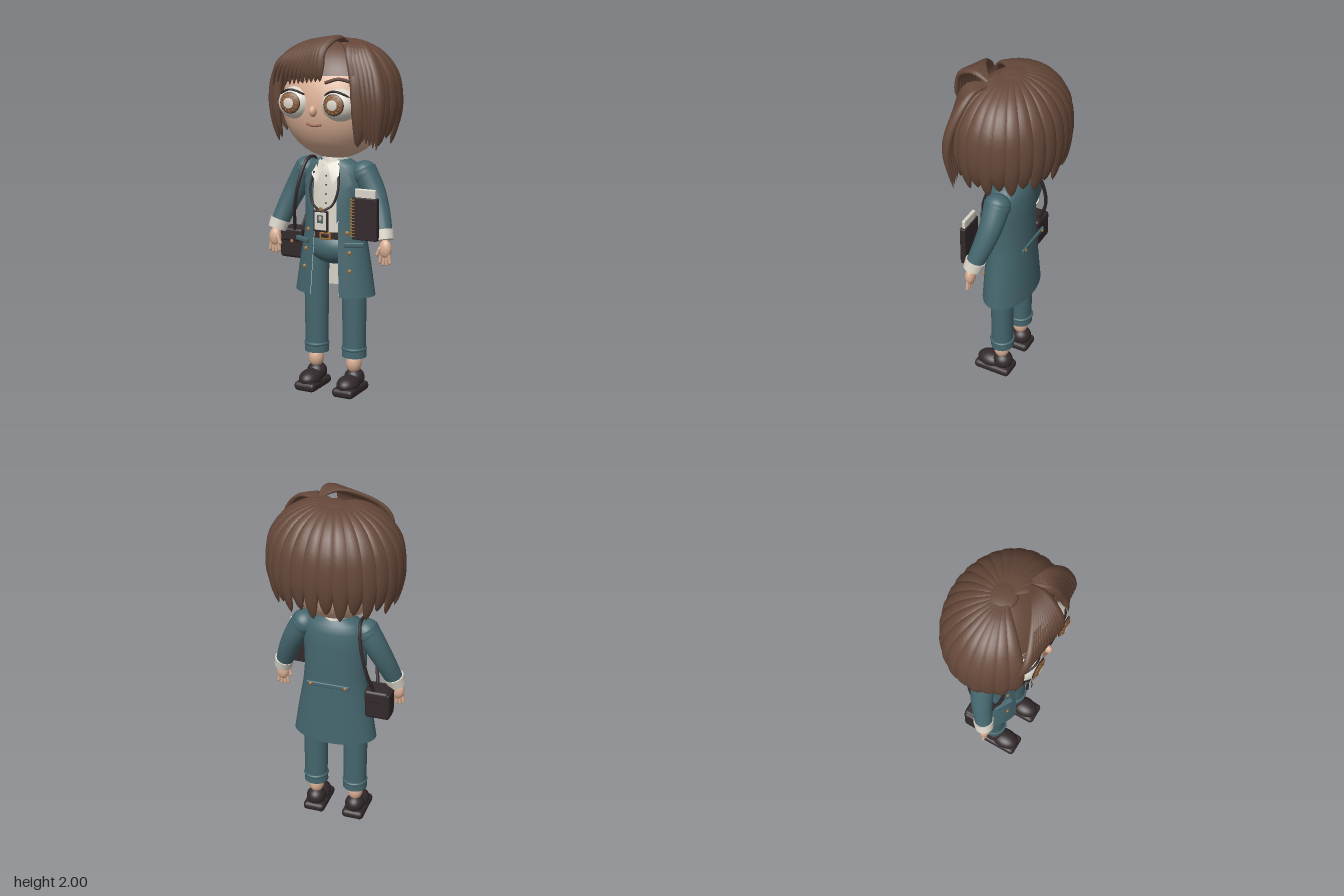
import * as THREE from 'three';
import { RoundedBoxGeometry } from 'three/addons/geometries/RoundedBoxGeometry.js';

const V = (x, y, z) => new THREE.Vector3(x, y, z);
const lerp = THREE.MathUtils.lerp;

export function createModel() {
  const root = new THREE.Group();
  const mat = (name, color, side = THREE.FrontSide) => {
    const m = new THREE.MeshStandardMaterial({ color, side });
    m.name = name;
    return m;
  };
  const teal = mat('teal cloth', 0x45666e), hair = mat('brown hair', 0x66483a);
  const skin = mat('skin', 0xd9ae94), cream = mat('cream', 0xdcd6ca, THREE.DoubleSide);
  const dark = mat('dark leather', 0x32292b), gold = mat('brass', 0xa87435);
  const iris = mat('iris brown', 0x875a3c), lip = mat('lip', 0xa0695c);

  const add = (name, geo, m, x = 0, y = 0, z = 0) => {
    const mesh = new THREE.Mesh(geo, m);
    mesh.name = name;
    mesh.position.set(x, y, z);
    root.add(mesh);
    return mesh;
  };
  const ball = (name, m, x, y, z, a, b, c) => {
    const mesh = add(name, new THREE.SphereGeometry(1, 28, 20), m, x, y, z);
    mesh.scale.set(a, b, c);
    return mesh;
  };
  const box = (name, m, x, y, z, w, h, d, r = 0.006) =>
    add(name, new RoundedBoxGeometry(w, h, d, 2, Math.min(r, d * 0.45, h * 0.45)), m, x, y, z);
  const tube = (name, m, pts, r, closed = false) =>
    add(name, new THREE.TubeGeometry(new THREE.CatmullRomCurve3(pts, closed), 40, r, 8, closed), m);

  // Surface through a stack of equal point rows
  function loft(rows, closed) {
    const n = rows[0].length, idx = [];
    for (let i = 0; i < rows.length - 1; i++)
      for (let j = 0; j < (closed ? n : n - 1); j++) {
        const k = (j + 1) % n, a = i * n + j, b = i * n + k, c = a + n, d = b + n;
        idx.push(a, b, c, b, d, c);
      }
    const g = new THREE.BufferGeometry().setFromPoints(rows.flat());
    g.setIndex(idx);
    g.computeVertexNormals();
    return g;
  }
  // Oval section swept along a curve; size(t) gives half width and half thickness
  function sweep(pts, size, out, steps = 20, sides = 10) {
    const curve = new THREE.CatmullRomCurve3(pts), rows = [];
    for (let i = 0; i <= steps; i++) {
      const t = i / steps, p = curve.getPoint(t), T = curve.getTangent(t), N = out(p);
      N.addScaledVector(T, -N.dot(T)).normalize();
      const B = N.clone().cross(T), [w, h] = size(t), row = [];
      for (let j = 0; j < sides; j++) {
        const a = (j / sides) * Math.PI * 2;
        row.push(p.clone().addScaledVector(B, w * Math.cos(a)).addScaledVector(N, h * Math.sin(a)));
      }
      rows.push(row);
    }
    return loft(rows, true);
  }

  // Head and face
  ball('head', skin, 0, 1.62, 0, 0.3, 0.295, 0.25);
  ball('nose', skin, 0, 1.605, 0.25, 0.02, 0.03, 0.028);
  const mouth = tube('mouth', lip, [V(-0.045, 1.535, 0.237), V(0, 1.528, 0.246), V(0.045, 1.535, 0.237)], 0.007);
  mouth.name = 'mouth';
  add('neck', new THREE.CylinderGeometry(0.05, 0.06, 0.12, 20), skin, 0, 1.32, 0);
  for (const s of [-1, 1]) {
    ball('ear', skin, s * 0.3, 1.6, 0.02, 0.025, 0.055, 0.035);
    ball('eyeball', cream, s * 0.13, 1.64, 0.195, 0.103, 0.088, 0.085);
    const layers = [['irisRim', dark, 0.66, 1.02], ['iris', iris, 0.6, 1.04], ['eyeShine', cream, 0.29, 1.07]];
    for (const [name, m, ang, k] of layers) {
      const g = new THREE.SphereGeometry(1, 28, 8, 0, Math.PI * 2, 0, ang).rotateX(Math.PI / 2);
      add(name, g, m, s * 0.13, 1.645, 0.195).scale.set(0.097 * k, 0.092 * k, 0.09 * k);
    }
    for (let i = 0; i < 12; i++) {
      const a = (i / 12) * Math.PI * 2;
      ball('irisFleck', gold, s * 0.13 + 0.042 * Math.cos(a), 1.645 + 0.042 * Math.sin(a), 0.278, 0.005, 0.005, 0.004);
    }
    // Upper lash line and brow
    const lash = [-1, -0.5, 0, 0.5, 1].map(u => V(s * 0.13 + u * 0.095, 1.715 - 0.055 * u * u, 0.262 - 0.055 * u * u));
    tube('lashLine', dark, lash, 0.006);
    tube('brow', hair, [V(s * 0.06, 1.755, 0.232), V(s * 0.13, 1.775, 0.212), V(s * 0.2, 1.755, 0.175)], 0.009);
  }

  // Hair: crown cap, then overlapping locks round the sides and back
  const fromHead = p => V(p.x, (p.y - 1.62) * 0.9, p.z * 1.3);
  const cap = add('hairCap', new THREE.SphereGeometry(1, 40, 16, 0, Math.PI * 2, 0, 1.06), hair, 0, 1.62, 0);
  cap.scale.set(0.335, 0.35, 0.262);
  const under = new THREE.SphereGeometry(1, 32, 16, Math.PI * 0.95, Math.PI * 1.1, 0, 1.8);
  add('hairUnderlayer', under.rotateY(Math.PI), hair, 0, 1.62, 0).scale.set(0.325, 0.34, 0.265);
  root.children[root.children.length - 1].rotation.y = Math.PI;
  add('crown', new THREE.SphereGeometry(1, 24, 8), hair, 0, 1.965, -0.01).scale.set(0.08, 0.018, 0.075);
  const profile = [[0.1, 1.972], [0.4, 1.955], [0.72, 1.89], [0.92, 1.78], [0.975, 1.63], [0.95, 1.52], [0.88, 1.42]];
  const LOCKS = 22;
  for (let i = 0; i < LOCKS; i++) {
    const a = THREE.MathUtils.degToRad(45 + (270 * i) / (LOCKS - 1));
    const drop = i % 2 ? 0.035 : 0;
    const pts = profile.map(([r, y], k) => V(0.365 * r * Math.sin(a), y + (k > 4 ? drop * (k - 4) * 0.5 : 0), 0.295 * r * Math.cos(a)));
    const size = t => {
      const w = t < 0.65 ? lerp(0.012, 0.052, Math.min(1, t / 0.5)) : 0.052 * Math.sqrt(Math.max(0.002, 1 - (t - 0.65) / 0.35));
      return [w, w * 0.45 + 0.001];
    };
    add('hairLock', sweep(pts, size, fromHead, 24, 10), hair);
  }
  // Swept fringe, arching forward from the parting
  const strand = (w, h) => t => {
    const k = Math.min(1, 0.35 + t * 1.6) * (t < 0.7 ? 1 : Math.sqrt(Math.max(0.004, (1 - t) / 0.3)));
    return [w * k, h * k];
  };
  for (let i = 0; i < 12; i++) {
    const u = i / 11, tx = lerp(0.055, -0.265, u);
    const pts = [V(0.12, 1.955, 0.06), V(lerp(0.105, 0.03, u), 1.99 - 0.01 * u, lerp(0.16, 0.145, u)),
      V(lerp(0.065, -0.15, u), lerp(1.93, 1.9, u), lerp(0.265, 0.235, u)),
      V(lerp(0.06, -0.225, u), 1.83, lerp(0.288, 0.245, u)), V(tx, lerp(1.765, 1.72, u), lerp(0.28, 0.215, u))];
    add('fringeLock', sweep(pts, strand(0.024, 0.014), fromHead, 20, 8), hair);
  }
  // Long lock group falling on the other side of the parting
  for (let i = 0; i < 6; i++) {
    const u = i / 5;
    const pts = [V(0.125, 1.955, 0.06), V(lerp(0.17, 0.23, u), 1.94, lerp(0.16, 0.11, u)), V(lerp(0.215, 0.32, u), 1.82, lerp(0.2, 0.16, u)),
      V(lerp(0.24, 0.36, u), 1.65, lerp(0.205, 0.19, u)), V(lerp(0.235, 0.33, u), lerp(1.46, 1.41, u), lerp(0.18, 0.17, u))];
    add('sideLock', sweep(pts, strand(0.034, 0.018), fromHead, 20, 8), hair);
  }

  // Coat: open-fronted shell of [height, half width, half depth, half opening]
  const coatRows = [[0.57, 0.24, 0.14, 0.09], [0.75, 0.212, 0.132, 0.08], [0.9, 0.185, 0.123, 0.075], [1.0, 0.176, 0.12, 0.075],
    [1.15, 0.18, 0.117, 0.08], [1.25, 0.18, 0.11, 0.075], [1.295, 0.145, 0.09, 0.065], [1.325, 0.08, 0.065, 0.045]];
  const coatAt = y => {
    let i = 0;
    while (i < coatRows.length - 2 && coatRows[i + 1][0] < y) i++;
    const a = coatRows[i], b = coatRows[i + 1], t = (y - a[0]) / (b[0] - a[0]);
    return a.map((v, k) => lerp(v, b[k], t));
  };
  const coatZ = (x, y) => {
    const [, rx, rz] = coatAt(y);
    return rz * Math.sqrt(Math.max(0.05, 1 - (x / rx) ** 2));
  };
  const shell = (rows, k, open) => loft(rows.map(([y, rx, rz, gap]) => {
    const g = open ? Math.asin(gap / rx) : 0;
    return Array.from({ length: 49 }, (_, j) => {
      const t = lerp(g, Math.PI * 2 - g, j / 48);
      return V(rx * k * Math.sin(t), y, rz * k * Math.cos(t));
    });
  }), false);
  add('coat', shell(coatRows, 1, true), teal);
  add('coatLining', shell(coatRows, 0.98, true), cream);
  add('shirt', shell(coatRows.slice(2), 0.93, false), cream);
  add('shirtCollarBand', new THREE.CylinderGeometry(0.062, 0.078, 0.06, 24, 1, true), cream, 0, 1.325, 0);
  for (let i = 0; i < 4; i++) ball('shirtButton', dark, 0, 1.24 - i * 0.05, coatZ(0, 1.24 - i * 0.05) * 0.95, 0.005, 0.005, 0.004);
  box('backStrap', teal, 0, 0.945, -0.132, 0.25, 0.026, 0.014);
  for (const s of [-1, 1]) ball('strapButton', gold, s * 0.1, 0.945, -0.14, 0.01, 0.01, 0.006);

  // Cloth plates that follow the chest
  const plate = (name, m, pts, lift) => {
    const g = new THREE.ShapeGeometry(new THREE.Shape(pts.map(([x, y]) => new THREE.Vector2(x, y))));
    const p = g.attributes.position;
    for (let i = 0; i < p.count; i++) p.setZ(i, coatZ(p.getX(i), p.getY(i)) + lift);
    g.computeVertexNormals();
    add(name, g, m);
  };
  for (const s of [-1, 1]) {
    const side = pts => pts.map(([x, y]) => [s * x, y]);
    plate('lapel', teal, side([[0.072, 0.98], [0.11, 1.06], [0.145, 1.15], [0.115, 1.17], [0.145, 1.2], [0.11, 1.28], [0.06, 1.31], [0.072, 1.2]]), 0.016);
    plate('shirtCollar', cream, side([[0.008, 1.3], [0.05, 1.2], [0.085, 1.25], [0.06, 1.325]]), 0.022);
    box('pocketFlap', teal, s * 0.16, 0.868, 0.085, 0.11, 0.024, 0.03).rotation.y = s * 0.5;
    for (const [x, y] of [[0.12, 0.93], [0.135, 0.82], [0.14, 0.72]])
      ball('coatButton', gold, s * x, y, coatZ(x, y), 0.012, 0.012, 0.007);

    // Sleeve, cuff and hand
    ball('shoulder', teal, s * 0.178, 1.25, -0.005, 0.072, 0.072, 0.075);
    const arm = [V(s * 0.17, 1.27, -0.005), V(s * 0.235, 1.16, 0), V(s * 0.285, 1.05, 0.025), V(s * 0.325, 0.94, 0.06)];
    add('sleeve', sweep(arm, t => [lerp(0.07, 0.05, t), lerp(0.074, 0.048, t)], () => V(0, 0, 1), 16, 20), teal);
    const cuff = add('cuff', new THREE.CylinderGeometry(0.056, 0.052, 0.055, 24), cream, s * 0.328, 0.935, 0.06);
    cuff.rotation.set(-0.25, 0, s * 0.25);
    ball('palm', skin, s * 0.343, 0.862, 0.075, 0.036, 0.052, 0.028);
    for (let i = 0; i < 4; i++) {
      const f = add('finger', new THREE.CapsuleGeometry(0.0095, 0.045, 4, 8), skin, s * (0.318 + i * 0.017), 0.808 + (i % 3 ? -0.006 : 0.004), 0.08);
      f.rotation.z = s * (i - 1.5) * 0.12;
    }
    add('thumb', new THREE.CapsuleGeometry(0.011, 0.035, 4, 8), skin, s * 0.31, 0.848, 0.092).rotation.z = -s * 0.4;

    // Trouser leg, ankle and shoe
    add('trouserLeg', new THREE.CylinderGeometry(0.073, 0.066, 0.58, 24), teal, s * 0.119, 0.5, 0).scale.z = 0.92;
    add('trouserCuff', new THREE.CylinderGeometry(0.069, 0.07, 0.05, 24), teal, s * 0.119, 0.232, 0).scale.z = 0.94;
    add('cuffRoll', new THREE.TorusGeometry(0.064, 0.009, 8, 28).rotateX(Math.PI / 2), teal, s * 0.119, 0.255, 0);
    ball('ankle', skin, s * 0.12, 0.17, 0.005, 0.044, 0.06, 0.045);
    box('shoeSole', dark, s * 0.12, 0.028, 0.048, 0.13, 0.052, 0.226, 0.022);
    ball('shoeToe', dark, s * 0.12, 0.062, 0.072, 0.062, 0.05, 0.086);
    ball('shoeHeel', dark, s * 0.12, 0.082, -0.002, 0.057, 0.055, 0.06);
    const stitch = [-1, -0.5, 0, 0.5, 1].map(u => V(s * 0.12 + u * 0.05, 0.106 - 0.022 * u * u, 0.088 - 0.02 * u * u));
    tube('shoeStitch', cream, stitch, 0.003);

    // Badge lanyard
    tube('lanyard', dark, [V(s * 0.075, 1.26, 0.105), V(s * 0.085, 1.17, 0.132), V(s * 0.06, 1.09, 0.15), V(s * 0.01, 1.055, 0.168)], 0.007);
  }

  // Hips and belt
  ball('trouserSeat', teal, 0, 0.83, 0, 0.165, 0.1, 0.108);
  add('belt', new THREE.CylinderGeometry(0.16, 0.16, 0.04, 32), dark, 0, 0.91, 0).scale.z = 0.73;
  box('buckle', gold, 0, 0.91, 0.12, 0.07, 0.046, 0.012);
  box('buckleCentre', dark, 0, 0.91, 0.125, 0.045, 0.024, 0.008);

  // Badge
  box('badgeFrame', dark, 0, 1.0, 0.168, 0.09, 0.12, 0.014);
  box('badgeCard', cream, 0, 1.0, 0.173, 0.072, 0.1, 0.008);
  box('badgePicture', teal, 0, 1.012, 0.176, 0.038, 0.045, 0.006);
  ball('badgePortrait', skin, 0, 1.015, 0.178, 0.011, 0.014, 0.004);
  box('badgeClip', gold, 0, 1.065, 0.168, 0.02, 0.022, 0.01);

  // Notebook with pages and ring binding
  box('notebookCover', dark, 0.25, 1.028, 0.13, 0.148, 0.232, 0.034);
  box('notebookPages', cream, 0.25, 1.09, 0.13, 0.122, 0.2, 0.02);
  for (let i = 0; i < 13; i++) {
    const ring = add('bindingRing', new THREE.TorusGeometry(0.016, 0.0035, 6, 14), gold, 0.18, 0.93 + i * 0.0165, 0.135);
    ring.rotation.x = Math.PI / 2;
  }

  // Shoulder bag
  box('bag', dark, -0.262, 0.822, -0.015, 0.145, 0.165, 0.11, 0.018);
  box('bagFlap', dark, -0.255, 0.875, -0.01, 0.135, 0.075, 0.125, 0.015);
  ball('bagClasp', gold, -0.25, 0.84, 0.052, 0.01, 0.01, 0.006);
  tube('bagStrap', dark, [V(-0.235, 0.9, 0.04), V(-0.205, 1.05, 0.095), V(-0.175, 1.2, 0.095), V(-0.155, 1.31, 0.04),
    V(-0.155, 1.31, -0.05), V(-0.175, 1.2, -0.1), V(-0.21, 1.05, -0.105), V(-0.24, 0.9, -0.05)], 0.01);

  return root;
}
